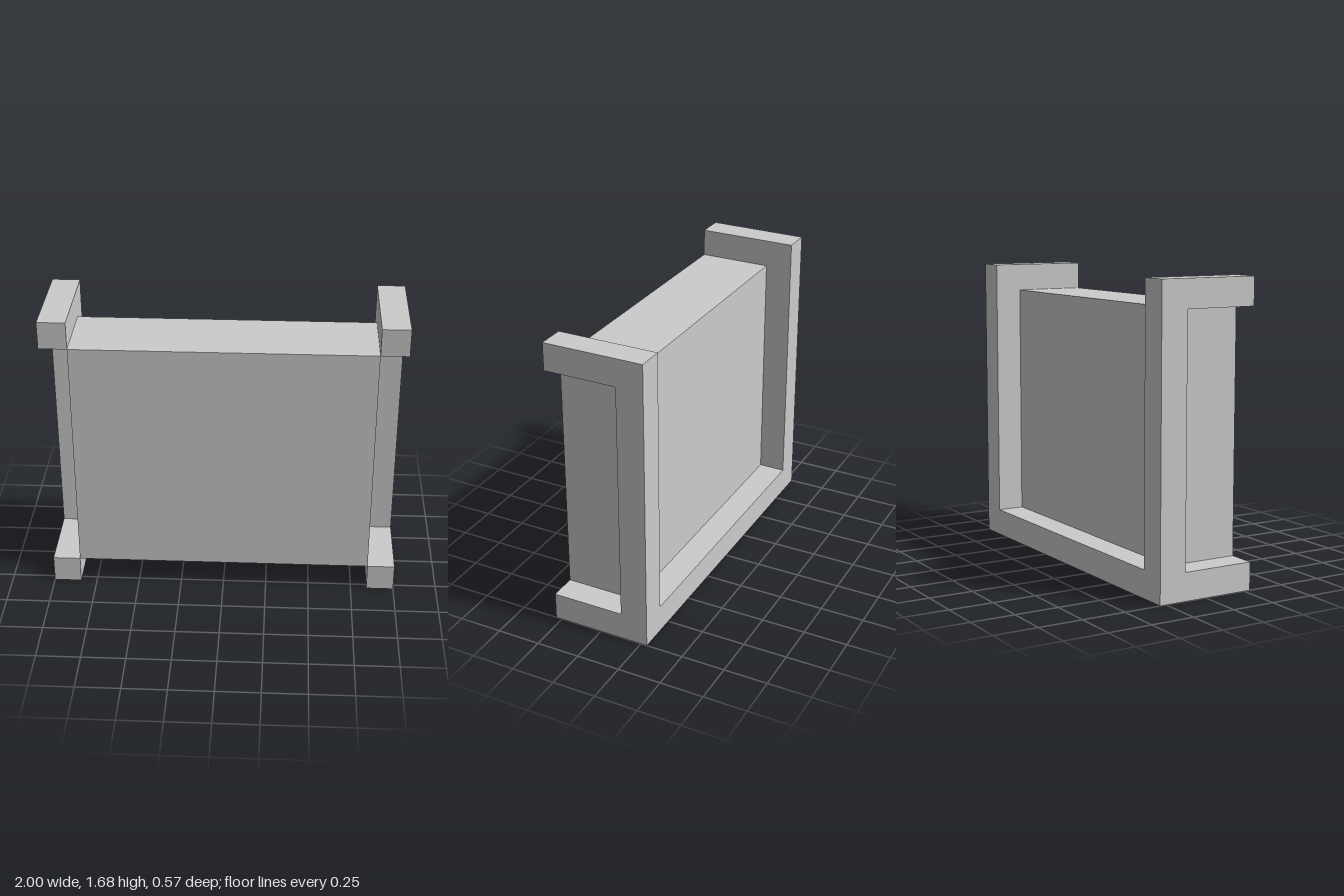
import * as THREE from 'three';

const W = 1, H = 1.685, D = 0.287;       // half width, height, half depth
const T = 0.157;                         // thickness of the frame bars
const INNER = W - T, BACK = -D + T, TOP = H - T;

export function createModel() {
  const model = new THREE.Group();
  const material = new THREE.MeshStandardMaterial({ color: 0xcccccc, flatShading: true });

  const add = (name, geometry) => {
    const mesh = new THREE.Mesh(geometry, material);
    mesh.name = name;
    model.add(mesh);
    return mesh;
  };
  const box = (name, x0, x1, y0, y1, z0, z1) =>
    add(name, new THREE.BoxGeometry(x1 - x0, y1 - y0, z1 - z0))
      .position.set((x0 + x1) / 2, (y0 + y1) / 2, (z0 + z1) / 2);

  // Thick panel held between the brackets, flush with their front ends
  box('panel', -INNER, INNER, T, TOP, BACK, D);

  // Bar along the lower back edge
  box('backRail', -INNER, INNER, 0, T, -D, BACK);

  // C-shaped side brackets: profile in (-z, y), extruded along x
  const profile = new THREE.Shape([
    [-D, 0], [D, 0], [D, H], [-D, H], [-D, TOP], [-BACK, TOP], [-BACK, T], [-D, T],
  ].map(([u, v]) => new THREE.Vector2(u, v)));
  const bracket = new THREE.ExtrudeGeometry(profile, { depth: T, bevelEnabled: false });
  bracket.rotateY(Math.PI / 2);
  add('leftBracket', bracket).position.x = INNER;
  add('rightBracket', bracket).position.x = -W;

  return model;
}
